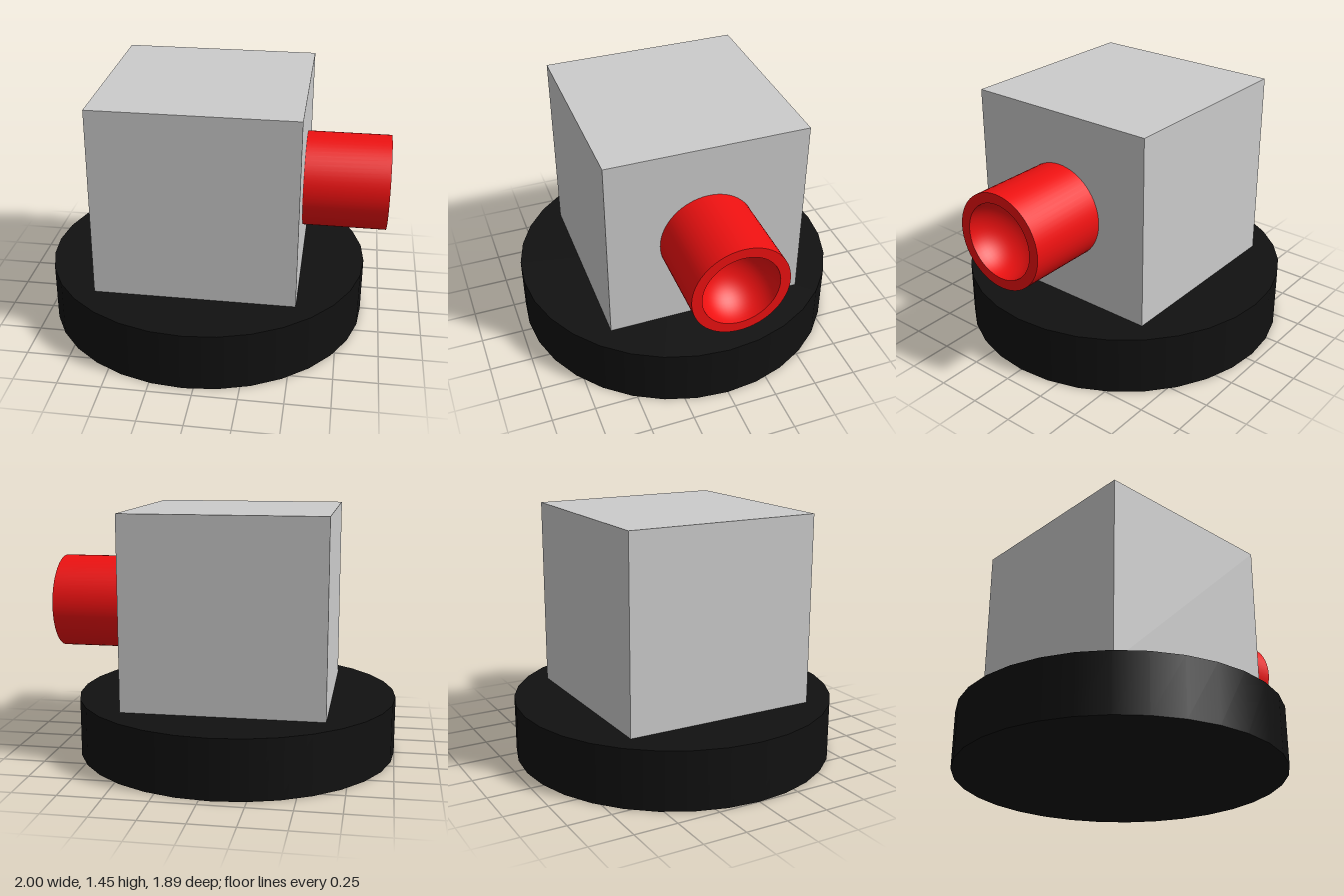
import * as THREE from 'three';

export function createModel() {
  const model = new THREE.Group();
  const grey = new THREE.MeshStandardMaterial({ color: 0xcccccc });
  const black = new THREE.MeshStandardMaterial({ color: 0x111111 });
  const red = new THREE.MeshStandardMaterial({ color: 0xee1111 });

  function add(parent, name, geometry, material, x = 0, y = 0, z = 0) {
    const mesh = new THREE.Mesh(geometry, material);
    mesh.name = name;
    mesh.position.set(x, y, z);
    parent.add(mesh);
    return mesh;
  }

  // Round plinth and the cube sitting on it
  const baseHeight = 0.34, top = 1.445, cube = 1.15, centreX = -0.055;
  add(model, 'base', new THREE.CylinderGeometry(0.945, 0.945, baseHeight, 32), black, centreX, baseHeight / 2);
  add(model, 'body', new THREE.BoxGeometry(cube, top - baseHeight, cube), grey, centreX, (top + baseHeight) / 2);

  // Nozzle turned along +x, its separate lathes keep the rim edges sharp
  const nozzle = new THREE.Group();
  nozzle.name = 'nozzle';
  nozzle.position.set(centreX + cube / 2, 0.87, 0);
  nozzle.rotation.z = -Math.PI / 2;
  model.add(nozzle);

  const outer = 0.275, inner = 0.217, length = 0.48;
  const lathe = (points) =>
    new THREE.LatheGeometry(points.map(([r, h]) => new THREE.Vector2(r, h)), 64);
  const bowl = [];
  for (let i = 0; i <= 16; i++) {
    const a = (i / 16) * Math.PI / 2;
    bowl.push([i === 16 ? 0 : inner * Math.cos(a), length - inner * Math.sin(a)]);
  }
  add(nozzle, 'nozzleWall', lathe([[outer, 0], [outer, length]]), red);
  add(nozzle, 'nozzleRim', lathe([[outer, length], [inner, length]]), red);
  add(nozzle, 'nozzleBowl', lathe(bowl), red);

  return model;
}
